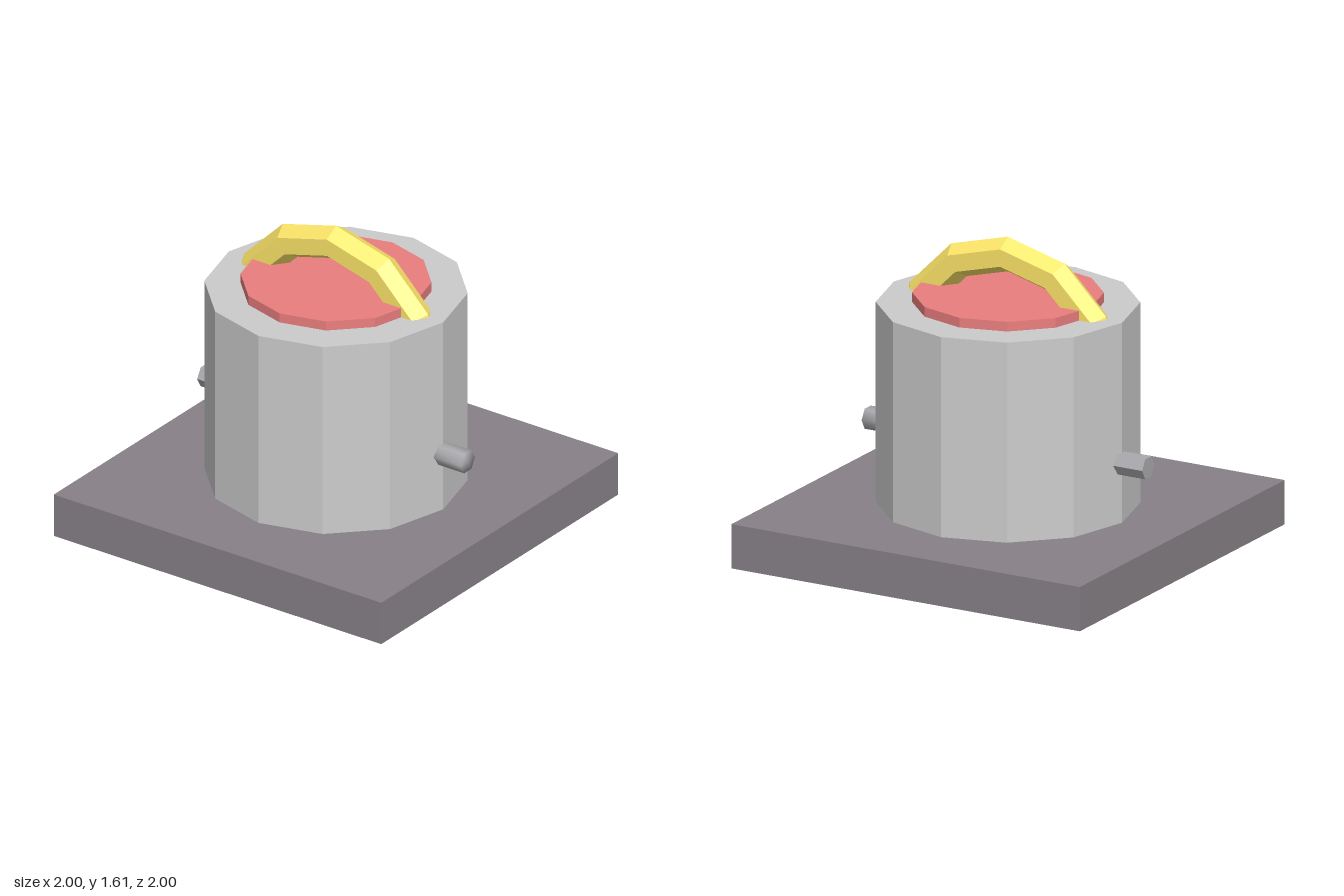
import * as THREE from 'three';
import { mergeVertices } from 'three/addons/utils/BufferGeometryUtils.js';

const material = (color, flatShading = true) =>
  new THREE.MeshStandardMaterial({ color, flatShading });

export function createModel() {
  const model = new THREE.Group();

  const add = (name, geometry, mat, x, y, z = 0) => {
    const mesh = new THREE.Mesh(geometry, mat);
    mesh.name = name;
    mesh.position.set(x, y, z);
    model.add(mesh);
    return mesh;
  };

  // Square base slab
  const baseH = 0.23;
  add('base', new THREE.BoxGeometry(2, baseH, 2), material(0x878187), 0, baseH / 2);

  // Twelve-sided drum
  const top = 1.27;
  add('body', new THREE.CylinderGeometry(0.655, 0.655, top - baseH, 12),
    material(0xcccccc), 0, (top + baseH) / 2);

  // Lid disc, sunk slightly into the drum
  add('lid', new THREE.CylinderGeometry(0.475, 0.475, 0.1, 12),
    material(0xea7e7e), 0, 1.27);

  // Arched handle: half ring with a hexagonal section, feet inside the drum
  add('handle', new THREE.TorusGeometry(0.56, 0.09, 6, 6, Math.PI),
    material(0xffe76a), 0, 0.96);

  // Hexagonal side pegs: the left one is softly shaded, the right one faceted
  const inner = 0.55, outer = 0.805;
  for (const side of [1, -1]) {
    let peg = new THREE.CylinderGeometry(0.06, 0.06, outer - inner, 6);
    if (side > 0) {
      peg.deleteAttribute('normal');
      peg.deleteAttribute('uv');
      peg = mergeVertices(peg);
      peg.computeVertexNormals();
    }
    peg.rotateZ(-side * Math.PI / 2);
    add(side > 0 ? 'leftPeg' : 'rightPeg', peg, material(0xaaaaae, side < 0),
      side * (inner + outer) / 2, 0.54);
  }

  return model;
}
